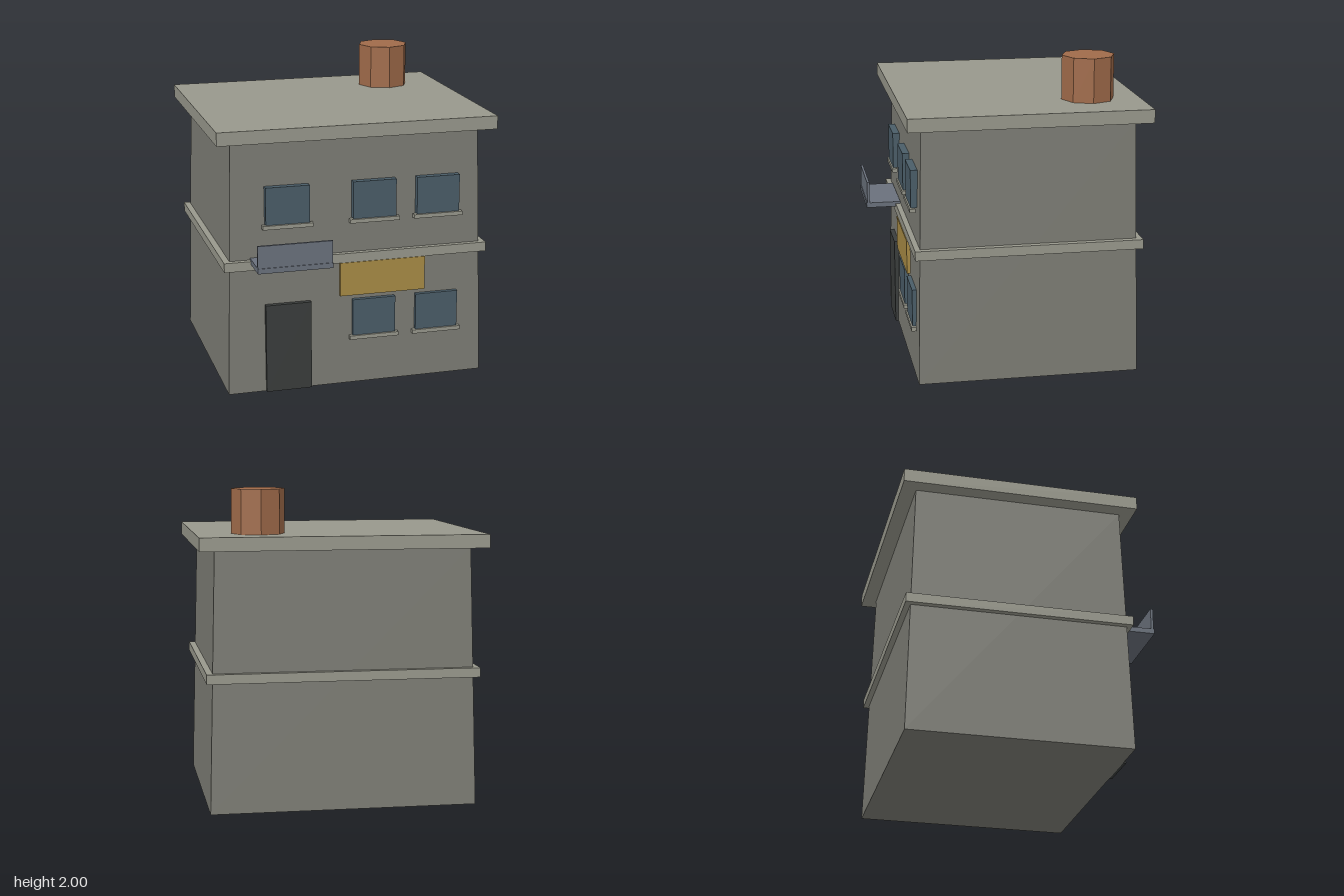
import * as THREE from 'three';

const mat = (color) => new THREE.MeshStandardMaterial({ color, flatShading: true });

export function createModel() {
  const model = new THREE.Group();
  const stone = mat(0x7c7c74), trim = mat(0x98988c), glass = mat(0x4a5d68);
  const metal = mat(0x6a717c), brick = mat(0xa06b4a);

  const add = (name, geometry, material) => {
    const mesh = new THREE.Mesh(geometry, material);
    mesh.name = name;
    model.add(mesh);
    return mesh;
  };
  // Box given by its extents on each axis
  const box = (name, [x0, x1], [y0, y1], [z0, z1], material) => {
    const mesh = add(name, new THREE.BoxGeometry(x1 - x0, y1 - y0, z1 - z0), material);
    mesh.position.set((x0 + x1) / 2, (y0 + y1) / 2, (z0 + z1) / 2);
    return mesh;
  };

  // Walls lean inwards towards the roof
  const walls = box('walls', [-0.843, 0.843], [0, 1.635], [-0.778, 0.627], stone);
  const p = walls.geometry.attributes.position;
  for (let i = 0; i < p.count; i++) {
    if (p.getY(i) > 0) p.setXYZ(i, p.getX(i) * 0.95, p.getY(i), p.getZ(i) * 0.95);
  }
  walls.geometry.computeVertexNormals();

  box('floorBand', [-0.86, 0.86], [0.82, 0.88], [-0.796, 0.642], trim);
  box('roofSlab', [-0.9, 0.9], [1.635, 1.72], [-0.836, 0.683], trim);

  // Eight-sided chimney
  add('chimney', new THREE.CylinderGeometry(0.168, 0.168, 0.28, 8), brick)
    .position.set(0.505, 1.86, -0.505);

  // Windows with projecting sills: [centre x, bottom y]
  for (const [x, y] of [[-0.453, 1.105], [0.11, 1.105], [0.53, 1.105], [0.11, 0.327], [0.53, 0.327]]) {
    box('window', [x - 0.141, x + 0.141], [y, y + 0.24], [0.595, 0.643], glass);
    box('windowSill', [x - 0.162, x + 0.162], [y - 0.027, y - 0.002], [0.617, 0.652], trim);
  }

  box('door', [-0.6, -0.305], [0, 0.58], [0.6, 0.646], mat(0x3a3d3c));
  box('signBoard', [-0.115, 0.445], [0.6, 0.82], [0.624, 0.647], mat(0xa88b45));

  // Balcony: floor plate and front parapet
  box('balconyFloor', [-0.69, -0.215], [0.86, 0.893], [0.61, 0.838], metal);
  box('balconyParapet', [-0.69, -0.215], [0.893, 1.035], [0.817, 0.833], metal);

  return model;
}
